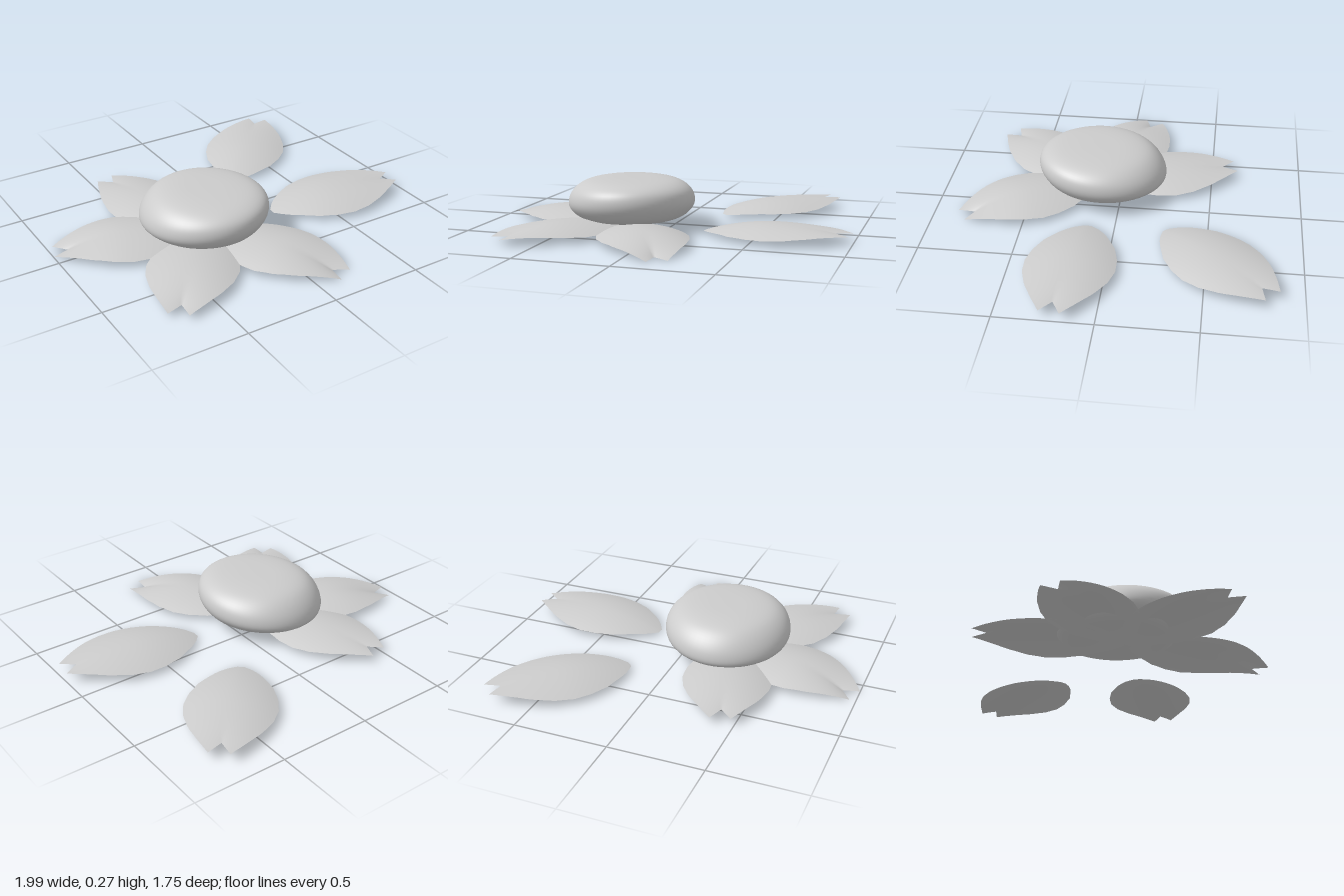
import * as THREE from 'three';
import { mergeVertices } from 'three/addons/utils/BufferGeometryUtils.js';

const material = new THREE.MeshStandardMaterial({ color: 0xcccccc, side: THREE.DoubleSide });

// Smooth curve through points, read as y for a given x
function sample(points, x) {
  let i = 1;
  while (i < points.length - 1 && points[i][0] < x) i++;
  const [a, b] = [points[i - 1], points[i]];
  return THREE.MathUtils.mapLinear(x, a[0], b[0], a[1], b[1]);
}

// Half width along the petal, from base (0) to tip (1)
const widths = [[0, 0.02], [0.03, 0.055], [0.07, 0.09], [0.13, 0.128], [0.25, 0.19], [0.38, 0.225],
  [0.5, 0.236], [0.63, 0.22], [0.77, 0.175], [0.9, 0.11], [1, 0.052]];

// Domed thin sheet with a notched tip, pointing along +x
function petalGeometry(baseY, tipY) {
  const rows = 24, cols = 16, positions = [], index = [];
  for (let i = 0; i <= rows; i++) {
    const t = i / rows, w = sample(widths, t);
    const ridge = 0.087 - (t < 0.55 ? (0.087 - baseY) * (1 - t / 0.55) ** 2
      : (0.087 - tipY) * ((t - 0.55) / 0.45) ** 2);
    for (let j = 0; j <= cols; j++) {
      const u = j / cols * 2 - 1;
      const sag = 0.046 * (u * w / 0.236) ** 2;
      positions.push(t * (0.71 + 0.075 * Math.abs(u)), ridge - sag, u * w);
      if (i < rows && j < cols) {
        const a = i * (cols + 1) + j, b = a + cols + 1;
        index.push(a, a + 1, b, b, a + 1, b + 1);
      }
    }
  }
  const g = new THREE.BufferGeometry();
  g.setAttribute('position', new THREE.Float32BufferAttribute(positions, 3));
  g.setIndex(index);
  g.computeVertexNormals();
  return g;
}

// Rounded cushion, flattened on top, with its widest line tilted
function cushionGeometry() {
  const profile = [[0, 0.06], [0.2, 0.06], [0.28, 0.075], [0.325, 0.11], [0.34, 0.15], [0.328, 0.2],
    [0.29, 0.243], [0.23, 0.271], [0.13, 0.284], [0, 0.286]].map(p => new THREE.Vector2(...p));
  const points = new THREE.SplineCurve(profile).getPoints(36);
  points[0].x = points[36].x = 0;
  let g = new THREE.LatheGeometry(points, 56);
  const p = g.attributes.position;
  for (let i = 0; i < p.count; i++) {
    const x = p.getX(i), y = p.getY(i), z = p.getZ(i) * 1.05;
    const belt = Math.max(0, 1 - ((y - 0.172) / 0.115) ** 2);
    p.setXYZ(i, x, y + (0.09 * z + 0.05 * x) * belt, z);
  }
  g.deleteAttribute('uv');
  g.deleteAttribute('normal');
  g = mergeVertices(g);
  g.computeVertexNormals();
  return g;
}

export function createModel() {
  const group = new THREE.Group();

  const cushion = new THREE.Mesh(cushionGeometry(), material);
  cushion.name = 'cushion';
  cushion.position.set(-0.21, 0, 0.112);
  group.add(cushion);

  // name, base x, base z, tip x, tip z, base height, tip height
  const petals = [
    ['backPetal', -0.24, 0.13, -0.435, -0.63, 0.03, 0.058],
    ['rightPetal', -0.24, 0.13, -0.98, -0.115, 0.03, 0.015],
    ['frontRightPetal', -0.22, 0.14, -0.715, 0.735, 0.035, 0.04],
    ['frontLeftPetal', -0.2, 0.16, 0.175, 0.845, 0.03, 0.014],
    ['looseBackPetal', 0.21, -0.275, 0.75, -0.835, 0.025, 0.066],
    ['looseLeftPetal', 0.21, 0.14, 0.985, 0.22, 0.02, 0.06],
  ];
  for (const [name, bx, bz, tx, tz, baseY, tipY] of petals) {
    const petal = new THREE.Mesh(petalGeometry(baseY, tipY), material);
    petal.name = name;
    petal.position.set(bx, 0, bz);
    petal.rotation.y = Math.atan2(bz - tz, tx - bx);
    petal.scale.x = Math.hypot(tx - bx, tz - bz) / 0.782;
    group.add(petal);
  }
  return group;
}
